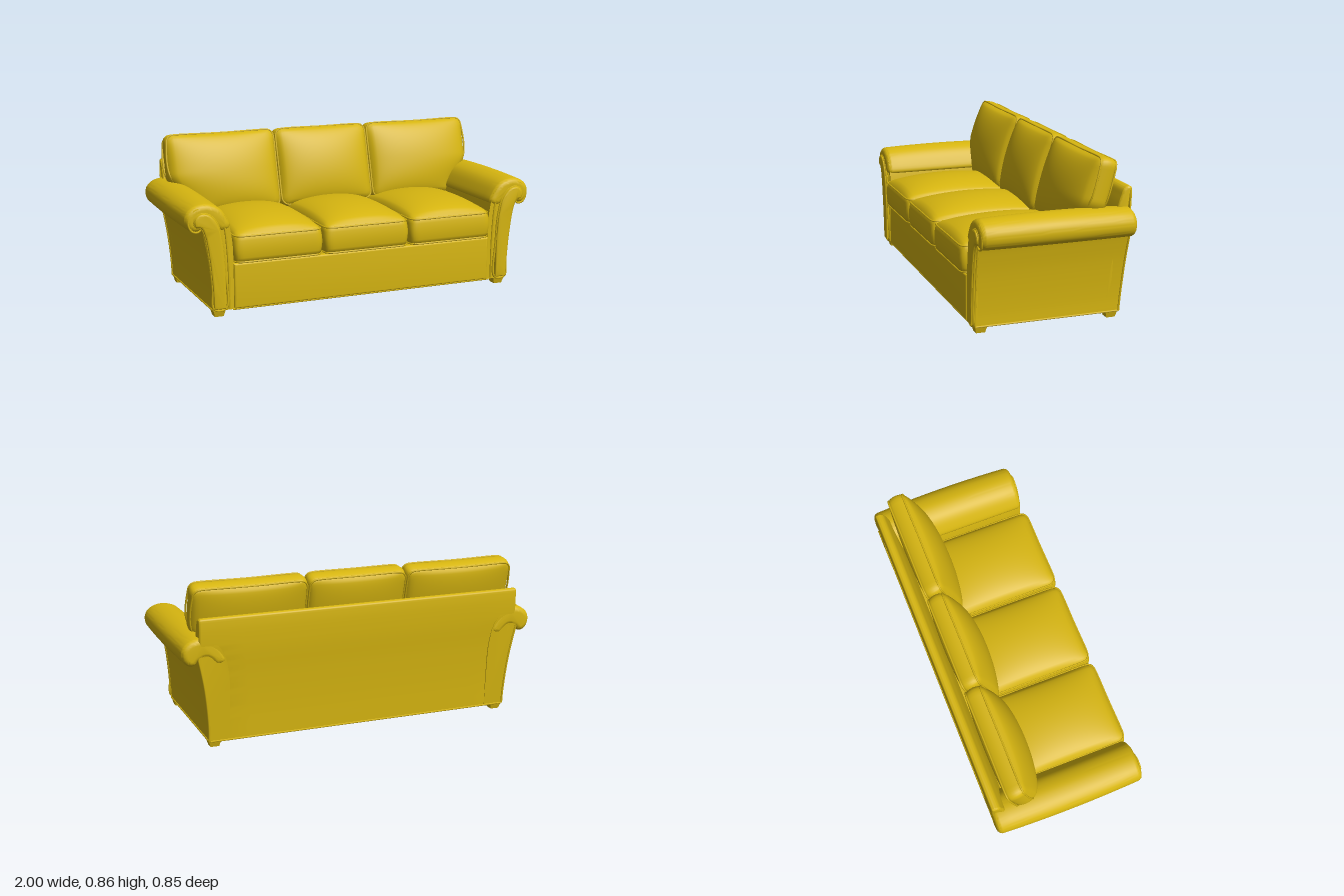
import * as THREE from 'three';
import { mergeVertices, toCreasedNormals } from 'three/addons/utils/BufferGeometryUtils.js';

const fabric = new THREE.MeshStandardMaterial({ color: 0xd6b510 });

export function createModel() {
  const sofa = new THREE.Group();
  sofa.name = 'sofa';

  const add = (name, geometry, parent = sofa) => {
    const mesh = new THREE.Mesh(geometry, fabric);
    mesh.name = name;
    parent.add(mesh);
    return mesh;
  };

  // Moves every vertex by a rule
  const warp = (geometry, rule) => {
    const p = geometry.attributes.position;
    const v = new THREE.Vector3();
    for (let i = 0; i < p.count; i++) {
      rule(v.fromBufferAttribute(p, i));
      p.setXYZ(i, v.x, v.y, v.z);
    }
    return geometry;
  };

  // Piping along a list of points
  const welt = (name, points, closed = false, radius = 0.005, parent = sofa) => {
    const curve = new THREE.CatmullRomCurve3(points.map(p => new THREE.Vector3(...p)), closed, 'centripetal');
    return add(name, new THREE.TubeGeometry(curve, points.length * 6, radius, 6, closed), parent);
  };

  const smoothLine = (points, closed, n) =>
    new THREE.CatmullRomCurve3(points.map(([x, y]) => new THREE.Vector3(x, y, 0)), closed, 'centripetal')
      .getPoints(n).map(p => new THREE.Vector2(p.x, p.y));

  // Extrudes an outline from z0 to z1 with rounded ends of size r
  const slab = (outline, z0, z1, r, steps = 1) => {
    const g = new THREE.ExtrudeGeometry(new THREE.Shape(outline), {
      depth: z1 - z0 - 2 * r, steps, bevelEnabled: r > 0,
      bevelSize: r, bevelOffset: -r, bevelThickness: r, bevelSegments: 5,
    });
    return g.translate(0, 0, z0 + r);
  };

  // Pillow: rounded outline, straight border, domed faces and two rows of piping
  const cushion = (name, w, h, t, r, domeFront, domeBack, rule = () => {}) => {
    const group = new THREE.Group();
    group.name = name;
    const g = new THREE.BoxGeometry(w, h, t, 32, 32, 6);
    g.deleteAttribute('uv');
    g.deleteAttribute('normal');
    const geo = mergeVertices(g);
    warp(geo, v => {
      const u = 2 * v.x / w, k = 2 * v.y / h, q = 2 * v.z / t;
      const dx = Math.max(Math.abs(v.x) - w / 2 + r, 0), dy = Math.max(Math.abs(v.y) - h / 2 + r, 0);
      if (dx > 0 && dy > 0) {
        const f = Math.max(dx, dy) / Math.hypot(dx, dy);
        v.x = Math.sign(v.x) * (w / 2 - r + dx * f);
        v.y = Math.sign(v.y) * (h / 2 - r + dy * f);
      }
      const edge = Math.max(Math.abs(u), Math.abs(k));
      const bulge = 0.008 * (1 - q * q) * (edge > 0.999 ? 1 : 0);
      v.x += bulge * u;
      v.y += bulge * k;
      if (Math.abs(q) > 0.999) {
        const dome = Math.pow(Math.max(0, (1 - u * u) * (1 - k * k)), 0.5);
        v.z += q > 0 ? domeFront * dome : -domeBack * dome;
      }
      rule(v);
    });
    geo.computeVertexNormals();
    add(name + 'Body', geo, group);
    for (const z of [t / 2, -t / 2]) {
      const pts = [];
      [[1, 1], [-1, 1], [-1, -1], [1, -1]].forEach(([sx, sy], c) => {
        for (let i = 0; i <= 4; i++) {
          const a = (c + i / 4) * Math.PI / 2;
          const v = new THREE.Vector3(sx * (w / 2 - r) + r * Math.cos(a), sy * (h / 2 - r) + r * Math.sin(a), z);
          rule(v);
          pts.push(v.toArray());
        }
        // extra point halfway along each side
        const v = new THREE.Vector3(c === 1 ? -w / 2 : c === 3 ? w / 2 : 0, c === 0 ? h / 2 : c === 2 ? -h / 2 : 0, z);
        rule(v);
        pts.push(v.toArray());
      });
      welt(name + 'Piping', pts, true, 0.005, group);
    }
    sofa.add(group);
    return group;
  };

  // Base frame with a recessed underside
  const box = (name, x, y, z, w, h, d) => add(name, new THREE.BoxGeometry(w, h, d).translate(x, y, z));
  box('seatDeck', 0, 0.165, 0, 1.52, 0.24, 0.74);
  for (const z of [0.34, -0.34]) box('bottomRail', 0, 0.041, z, 1.68, 0.018, 0.085);
  for (const x of [0.8, -0.8]) box('bottomSideRail', x, 0.041, 0, 0.09, 0.018, 0.6);
  const rail = [[-0.74, 0.035], [0.74, 0.035], [0.74, 0.275], [-0.74, 0.275]].map(p => new THREE.Vector2(...p));
  add('frontRail', toCreasedNormals(slab(rail, 0.35, 0.4, 0.012), 0.6));
  welt('frontRailPiping', [[-0.75, 0.035, 0.393], [0, 0.035, 0.393], [0.75, 0.035, 0.393]]);

  // Back frame: side profile swept across the width, narrower towards the floor
  const backLine = smoothLine([[-0.385, 0.035], [-0.392, 0.2], [-0.405, 0.38], [-0.42, 0.54], [-0.424, 0.67],
    [-0.42, 0.695], [-0.4, 0.699], [-0.38, 0.686], [-0.365, 0.65], [-0.345, 0.58], [-0.31, 0.35], [-0.3, 0.035]], false, 60);
  const backGeo = slab(backLine, -0.9, 0.9, 0.012, 8).rotateY(-Math.PI / 2);
  warp(backGeo, v => {
    const k = Math.min(v.y / 0.56, 1);
    v.x *= (0.845 + 0.055 * k * k) / 0.9;
  });
  add('backFrame', toCreasedNormals(backGeo, 0.7));
  welt('backBottomPiping', [[-0.845, 0.035, -0.386], [0, 0.035, -0.386], [0.845, 0.035, -0.386]]);

  // The rear of the arms leans out with the back
  const rearZ = y => -0.383 - 0.038 * Math.min(y / 0.52, 1);

  for (const s of [1, -1]) {
    const arm = new THREE.Group();
    arm.name = s > 0 ? 'leftArm' : 'rightArm';
    sofa.add(arm);
    const mirror = pts => pts.map(([x, y]) => [s * x, y]);

    // Curved arm wall
    const outer = [[0.905, 0.49], [0.89, 0.42], [0.872, 0.32], [0.858, 0.2], [0.851, 0.1], [0.85, 0.035]];
    const wall = smoothLine(mirror([[0.74, 0.035], [0.74, 0.22], [0.745, 0.4], [0.775, 0.52], [0.83, 0.57], [0.9, 0.56], ...outer]), false, 60);
    const wallGeo = warp(slab(wall, -0.4, 0.39, 0), v => { if (v.z < 0) v.z = rearZ(v.y); });
    add('armWall', toCreasedNormals(wallGeo, 0.6), arm);

    // Rolled arm top, fuller in the middle of its length
    const roll = smoothLine(mirror([[0.752, 0.47], [0.775, 0.53], [0.81, 0.57], [0.855, 0.59], [0.9, 0.594], [0.945, 0.582],
      [0.977, 0.555], [0.988, 0.52], [0.978, 0.48], [0.95, 0.456], [0.92, 0.458], [0.9, 0.478], [0.86, 0.49], [0.8, 0.45]]), true, 72);
    const rollGeo = warp(slab(roll, -0.421, 0.4, 0.028, 14), v => {
      const full = 1 - (v.z / 0.41) ** 2;
      if (v.y > 0.5) v.y += 0.11 * full * (v.y - 0.5);
      if (Math.abs(v.x) > 0.9) v.x += s * 0.13 * full * (Math.abs(v.x) - 0.9);
    });
    add('armRoll', toCreasedNormals(rollGeo, 0.7), arm);

    // Scrolled front facing and its piping
    const facing = mirror([[0.785, 0.045], [0.788, 0.25], [0.8, 0.4], [0.826, 0.495], [0.87, 0.543], [0.915, 0.548],
      [0.943, 0.52], [0.938, 0.485], [0.912, 0.478], [0.892, 0.44], [0.868, 0.3], [0.855, 0.15], [0.85, 0.045]]);
    add('armFacing', toCreasedNormals(slab(smoothLine(facing, false, 60), 0.37, 0.412, 0.01), 0.7), arm);
    welt('armFacingPiping', facing.map(([x, y]) => [x, y, 0.398]), true, 0.006, arm);
    const scroll = [[0.9, 0.475], [0.925, 0.455], [0.955, 0.462], [0.972, 0.49], [0.97, 0.53], [0.94, 0.566],
      [0.9, 0.575], [0.85, 0.565], [0.81, 0.53], [0.785, 0.47], [0.772, 0.36], [0.765, 0.2], [0.765, 0.04]];
    welt('armScrollPiping', mirror(scroll).map(([x, y]) => [x, y, 0.392]), false, 0.006, arm);

    // Edge piping on the outer side
    welt('armRearPiping', mirror(outer).map(([x, y]) => [x, y, rearZ(y)]), false, 0.006, arm);
    welt('armFrontPiping', mirror(outer).map(([x, y]) => [x, y, 0.388]), false, 0.005, arm);
    welt('armBottomPiping', [[s * 0.85, 0.035, 0.388], [s * 0.85, 0.035, 0], [s * 0.85, 0.035, -0.384]], false, 0.005, arm);

    // Tapered square feet
    for (const z of [0.357, -0.347]) {
      const foot = new THREE.CylinderGeometry(0.046, 0.033, 0.034, 4).rotateY(Math.PI / 4);
      add('foot', toCreasedNormals(foot.translate(s * 0.818, 0.017, z), 0.4));
    }
  }

  // Three seat cushions
  for (const i of [-1, 0, 1]) {
    const seat = cushion('seatCushion', 0.475, 0.67, 0.135, 0.04, 0.078, 0.015);
    seat.rotation.x = -Math.PI / 2;
    seat.position.set(i * 0.497, 0.352, 0.083);
  }

  // Three leaning back cushions; the outer ones spread above the arms
  for (const i of [-1, 0, 1]) {
    const w = i ? 0.615 : 0.545;
    const back = cushion('backCushion', w, 0.43, 0.085, 0.04, 0.075, 0.04, v => {
      if (!i) return;
      const k = THREE.MathUtils.smoothstep(-v.y, 0.0, 0.2);
      const inner = -i * w / 2;
      v.x = inner + (v.x - inner) * (1 - 0.2 * k);
      v.y += 0.012 * (v.x / w) ** 2 - 0.002;
    });
    back.rotation.x = -0.28;
    back.position.set(i * 0.594, 0.632, -0.238);
  }

  return sofa;
}
